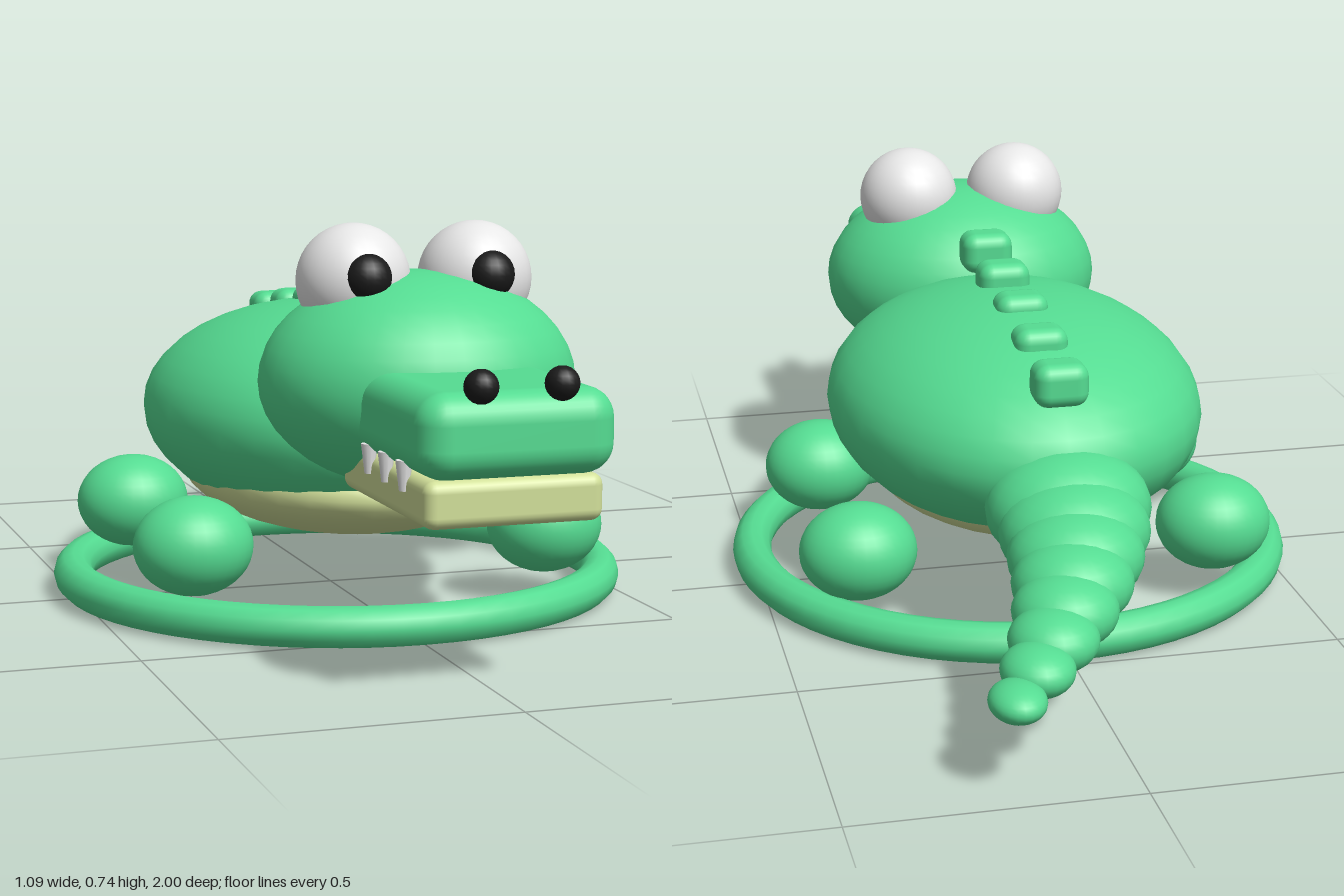
import * as THREE from 'three';
import { RoundedBoxGeometry } from 'three/addons/geometries/RoundedBoxGeometry.js';

export function createModel() {
  const mat = (name, hex) => {
    const m = new THREE.MeshStandardMaterial({ color: hex });
    m.name = name;
    return m;
  };
  const green = mat('skin green', 0x55dc92);
  const cream = mat('belly cream', 0xd2e09a);
  const white = mat('eye white', 0xf4f4f4);
  const black = mat('pupil black', 0x1a1a1a);

  const model = new THREE.Group();
  model.name = 'crocodileFloat';

  const add = (name, geometry, material, x, y, z) => {
    const mesh = new THREE.Mesh(geometry, material);
    mesh.name = name;
    mesh.position.set(x, y, z);
    model.add(mesh);
    return mesh;
  };
  const ellipsoid = (name, material, pos, radii, w = 32, h = 20) =>
    add(name, new THREE.SphereGeometry(1, w, h).scale(...radii), material, ...pos);

  // Ring on the ground
  add('baseRing', new THREE.TorusGeometry(0.508, 0.0375, 12, 64).rotateX(Math.PI / 2), green, 0, 0.0375, 0.035);

  // Trunk and belly
  ellipsoid('body', green, [0, 0.345, 0], [0.355, 0.21, 0.475]);
  ellipsoid('belly', cream, [0, 0.235, 0.03], [0.285, 0.11, 0.41]);

  // Head and jaws
  ellipsoid('head', green, [0, 0.465, 0.49], [0.28, 0.19, 0.25]);
  add('upperSnout', new RoundedBoxGeometry(0.335, 0.14, 0.44, 4, 0.05), green, 0, 0.436, 0.768);
  add('lowerJaw', new RoundedBoxGeometry(0.305, 0.078, 0.42, 3, 0.02), cream, 0, 0.327, 0.747);

  for (const side of [1, -1]) {
    const label = side > 0 ? 'left' : 'right';
    // Eyes and nostrils
    ellipsoid(label + 'Eye', white, [side * 0.112, 0.637, 0.475], [0.1, 0.1, 0.1]);
    ellipsoid(label + 'Pupil', black, [side * 0.112, 0.648, 0.55], [0.043, 0.043, 0.043], 20, 14);
    ellipsoid(label + 'Nostril', black, [side * 0.068, 0.516, 0.972], [0.028, 0.028, 0.028], 16, 12);

    // Teeth along each side of the mouth
    for (const z of [0.685, 0.77, 0.856]) {
      add(label + 'Tooth', new THREE.CylinderGeometry(0.014, 0.008, 0.05, 10), white, side * 0.153, 0.362, z);
    }

    // Feet
    ellipsoid(label + 'FrontFoot', green, [side * 0.343, 0.142, 0.255], [0.11, 0.091, 0.1]);
    ellipsoid(label + 'BackFoot', green, [side * 0.343, 0.142, -0.222], [0.11, 0.091, 0.1]);
  }

  // Row of back bumps, sinking towards the tail
  for (let i = 0; i < 5; i++) {
    add('backBump', new RoundedBoxGeometry(0.1, 0.08, 0.08, 3, 0.026), green, 0, 0.575 - i * 0.02, 0.238 - i * 0.154);
  }

  // Tapering tail of overlapping segments, curling to the left
  const lerp = THREE.MathUtils.lerp;
  const count = 8;
  for (let i = 0; i < count; i++) {
    const t = i / (count - 1);
    ellipsoid('tailSegment', green,
      [0.205 * Math.pow(t, 1.8), lerp(0.285, 0.157, t), lerp(-0.45, -0.94, t)],
      [lerp(0.15, 0.048, t), lerp(0.107, 0.032, t), lerp(0.13, 0.06, t)], 24, 16);
  }

  return model;
}
